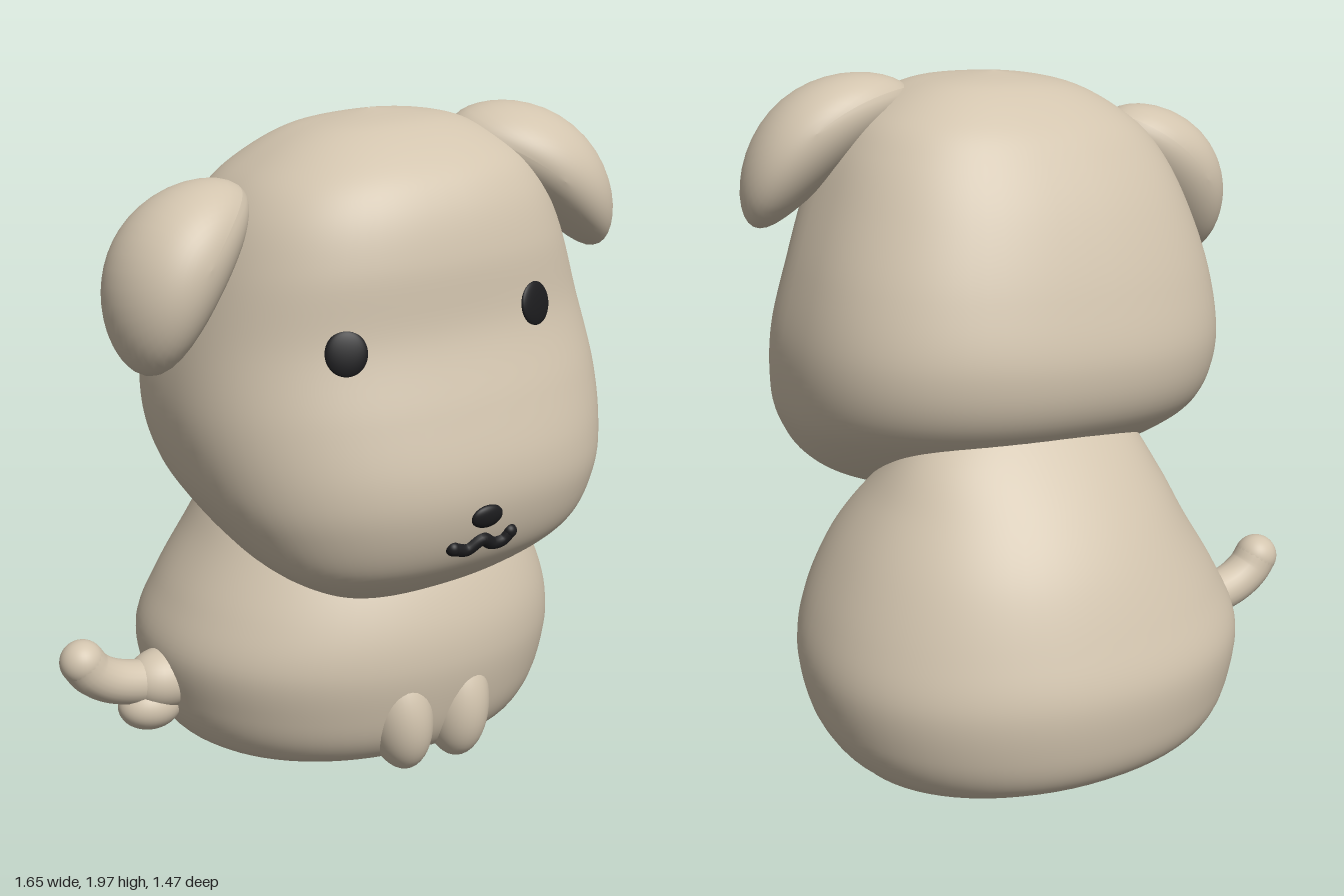
import * as THREE from 'three';

const coat = new THREE.MeshStandardMaterial({ color: 0xd2c4ae });
coat.name = 'beige coat';
const dark = new THREE.MeshStandardMaterial({ color: 0x1c1c1e });
dark.name = 'black features';

// Smooth loft through sections [y, xMin, xMax, zFront, zBack]
function loft(keys, power, steps = 8, sides = 72) {
  const rows = [];
  const last = keys.length - 1;
  const key = (i) => keys[Math.max(0, Math.min(last, i))];
  for (let i = 0; i < last; i++) {
    for (let s = 0; s < steps + (i === last - 1 ? 1 : 0); s++) {
      const t = s / steps;
      rows.push(key(i).map((p1, k) => {
        const p0 = key(i - 1)[k], p2 = key(i + 1)[k], p3 = key(i + 2)[k];
        return 0.5 * (2 * p1 + (p2 - p0) * t + (2 * p0 - 5 * p1 + 4 * p2 - p3) * t * t
          + (3 * p1 - p0 - 3 * p2 + p3) * t * t * t);
      }));
    }
  }
  const pos = [], index = [];
  const round = (v) => Math.sign(v) * Math.abs(v) ** (2 / power);
  rows.forEach(([y, x0, x1, zf, zb], i) => {
    for (let j = 0; j < sides; j++) {
      const a = (j / sides) * Math.PI * 2;
      pos.push((x0 + x1) / 2 + (x1 - x0) / 2 * round(Math.cos(a)), Math.max(0, y),
        (zf + zb) / 2 + (zf - zb) / 2 * round(Math.sin(a)));
      if (i < rows.length - 1) {
        const k = (j + 1) % sides, b = i * sides, c = b + sides;
        index.push(b + j, c + j, b + k, b + k, c + j, c + k);
      }
    }
  });
  const g = new THREE.BufferGeometry();
  g.setAttribute('position', new THREE.Float32BufferAttribute(pos, 3));
  g.setIndex(index);
  g.computeVertexNormals();
  return g;
}

function add(parent, name, geometry, material) {
  const mesh = new THREE.Mesh(geometry, material);
  mesh.name = name;
  parent.add(mesh);
  return mesh;
}

function ellipsoid(parent, name, material, [x, y, z], [rx, ry, rz]) {
  const mesh = add(parent, name, new THREE.SphereGeometry(1, 36, 24).scale(rx, ry, rz), material);
  mesh.position.set(x, y, z);
  return mesh;
}

// Thick drooping flap: long axis, width axis, bent across its thickness
function ear(parent, name, center, long, wide, size) {
  const L = new THREE.Vector3(...long).normalize();
  const W = new THREE.Vector3(...wide);
  W.addScaledVector(L, -W.dot(L)).normalize();
  const T = new THREE.Vector3().crossVectors(L, W);
  const g = new THREE.SphereGeometry(1, 40, 28).scale(...size);
  const p = g.attributes.position, out = Math.sign(T.y);
  for (let i = 0; i < p.count; i++) {
    p.setZ(i, p.getZ(i) + out * (0.03 - 0.8 * p.getX(i) ** 2));
  }
  g.applyMatrix4(new THREE.Matrix4().makeBasis(L, W, T));
  g.computeVertexNormals();
  add(parent, name, g, coat).position.set(...center);
}

export function createModel() {
  const model = new THREE.Group();
  model.name = 'sittingPuppy';

  // Pear-shaped body with a flat base
  add(model, 'body', loft([
    [0.008, 0.15, 0.17, -0.14, -0.16],
    [0.008, -0.29, 0.62, 0.21, -0.51],
    [0.04, -0.4, 0.7, 0.32, -0.62],
    [0.1, -0.46, 0.755, 0.38, -0.69],
    [0.2, -0.5, 0.8, 0.415, -0.725],
    [0.35, -0.52, 0.822, 0.435, -0.735],
    [0.5, -0.46, 0.79, 0.41, -0.69],
    [0.67, -0.36, 0.715, 0.33, -0.615],
    [0.82, -0.28, 0.62, 0.2, -0.515],
    [0.97, -0.18, 0.5, 0.02, -0.385],
    [1.1, -0.02, 0.3, -0.1, -0.25],
    [1.14, 0.13, 0.14, -0.17, -0.18],
  ], 2.1), coat);

  // Head, tipped slightly to one side
  const headShape = loft([
    [0.615, 0.03, 0.04, 0.36, 0.35],
    [0.63, -0.14, 0.22, 0.47, 0.27],
    [0.68, -0.27, 0.41, 0.57, 0.18],
    [0.77, -0.4, 0.59, 0.665, 0.01],
    [0.9, -0.5, 0.69, 0.715, -0.23],
    [1.03, -0.56, 0.73, 0.72, -0.4],
    [1.2, -0.587, 0.735, 0.68, -0.45],
    [1.4, -0.565, 0.69, 0.622, -0.41],
    [1.6, -0.51, 0.615, 0.605, -0.335],
    [1.75, -0.44, 0.54, 0.56, -0.25],
    [1.85, -0.34, 0.45, 0.48, -0.165],
    [1.935, -0.17, 0.29, 0.33, -0.03],
    [1.965, 0.06, 0.07, 0.14, 0.13],
  ], 2.4);
  const hp = headShape.attributes.position;
  for (let i = 0; i < hp.count; i++) hp.setY(i, hp.getY(i) + 0.06 * (hp.getX(i) - 0.07));
  headShape.computeVertexNormals();
  const head = add(model, 'head', headShape, coat);

  // Ears
  ear(model, 'leftEar', [0.56, 1.775, 0.275], [0.78, -0.6, 0.15], [0, -0.4, 0.92], [0.3, 0.2, 0.13]);
  ear(model, 'rightEar', [-0.6, 1.575, 0.24], [-0.55, -0.8, 0.15], [0, -0.2, 0.97], [0.29, 0.19, 0.145]);

  // Face details set on the head surface
  const ray = new THREE.Raycaster();
  const onFace = (x, y) => {
    ray.set(new THREE.Vector3(x, y, 2), new THREE.Vector3(0, 0, -1));
    return ray.intersectObject(head)[0];
  };
  const feature = (name, x, y, size, roll) => {
    const hit = onFace(x, y);
    const mesh = ellipsoid(model, name, dark, hit.point.toArray(), size);
    mesh.lookAt(hit.point.clone().add(hit.face.normal));
    mesh.rotateZ(roll);
  };
  feature('rightEye', -0.27, 1.375, [0.058, 0.062, 0.014], 0);
  feature('leftEye', 0.33, 1.452, [0.058, 0.062, 0.014], 0);
  feature('nose', 0.093, 0.908, [0.05, 0.034, 0.018], 0.07);

  const lips = [[0, 0.822], [0.045, 0.812], [0.09, 0.838], [0.13, 0.818], [0.165, 0.822], [0.185, 0.845]]
    .map(([x, y]) => onFace(x, y).point);
  add(model, 'mouth', new THREE.TubeGeometry(new THREE.CatmullRomCurve3(lips), 40, 0.02, 12), dark);
  for (const p of [lips[0], lips[5]]) {
    ellipsoid(model, 'mouthCorner', dark, p.toArray(), [0.021, 0.021, 0.021]);
  }

  // Front paws
  for (const side of [-1, 1]) {
    const paw = ellipsoid(model, side < 0 ? 'rightPaw' : 'leftPaw', coat,
      [0.16 + side * 0.103, 0.19, 0.335], [0.1, 0.18, 0.115]);
    paw.rotation.set(-0.15, 0, -side * 0.08);
  }

  // Tail curling up from the right hip, with a small foot below it
  const path = new THREE.CatmullRomCurve3([
    [-0.4, 0.26, -0.12], [-0.55, 0.25, -0.12], [-0.67, 0.275, -0.12], [-0.735, 0.315, -0.12], [-0.765, 0.355, -0.12],
  ].map((p) => new THREE.Vector3(...p)));
  add(model, 'tail', new THREE.TubeGeometry(path, 32, 0.068, 24), coat);
  ellipsoid(model, 'tailTip', coat, [-0.765, 0.355, -0.12], [0.068, 0.068, 0.068]);
  ellipsoid(model, 'tailBase', coat, [-0.5, 0.25, -0.12], [0.12, 0.095, 0.1]);
  ellipsoid(model, 'hindFoot', coat, [-0.55, 0.172, -0.12], [0.1, 0.075, 0.085]);

  return model;
}
